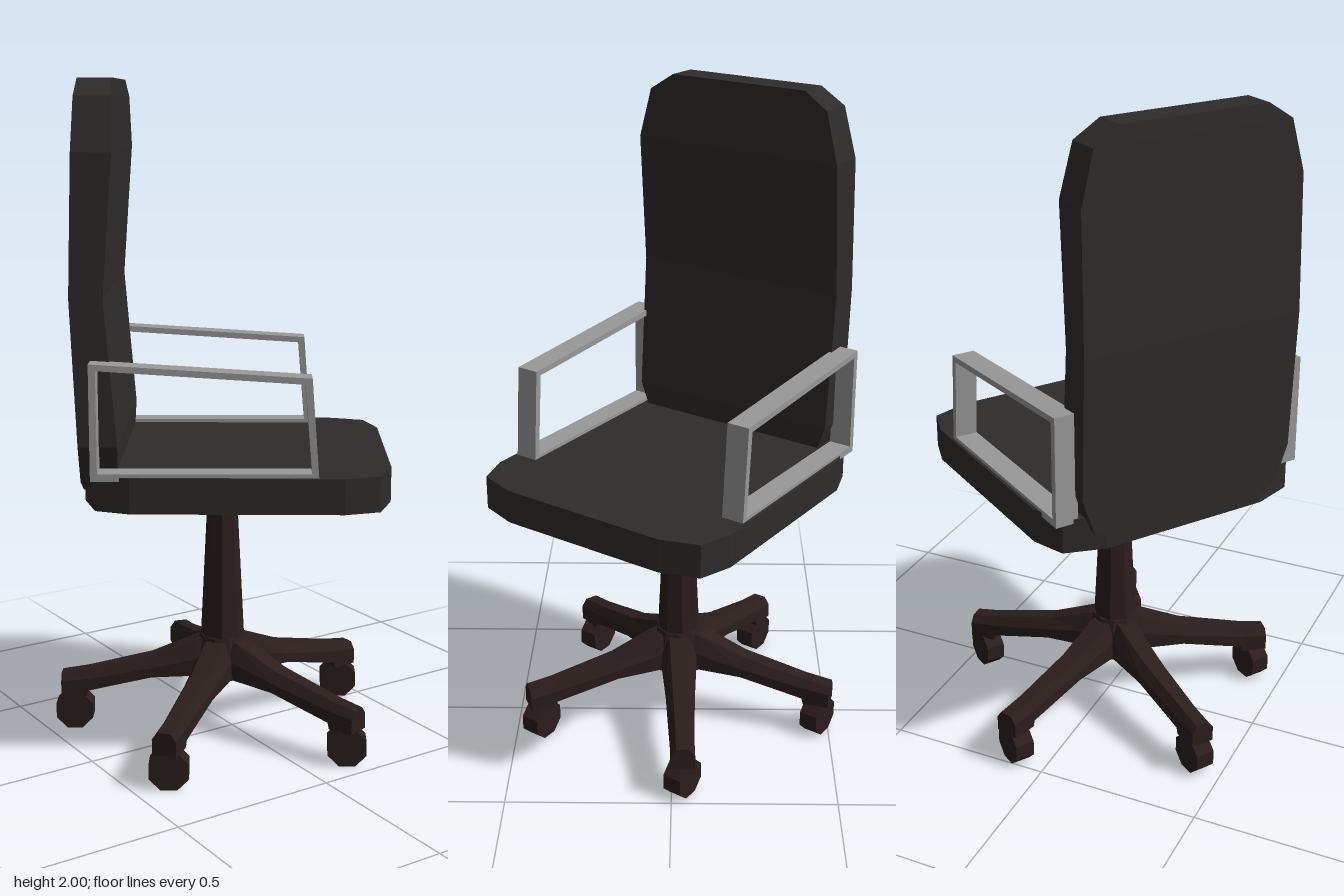
import * as THREE from 'three';

const mat = (color) => new THREE.MeshStandardMaterial({ color, flatShading: true });
const upholstery = mat(0x2e2c2a);
const darkWood = mat(0x2b1e1d);
const metal = mat(0x999999);

function add(parent, name, geometry, material) {
  const mesh = new THREE.Mesh(geometry, material);
  mesh.name = name;
  parent.add(mesh);
  return mesh;
}

// Joins equal-length rings of [x, y, z] points and caps both ends.
function loft(rings) {
  const n = rings[0].length;
  const index = [];
  for (let r = 0; r < rings.length - 1; r++) {
    for (let i = 0; i < n; i++) {
      const j = (i + 1) % n;
      const a = r * n + i, b = r * n + j;
      index.push(a, b, b + n, a, b + n, a + n);
    }
  }
  const last = (rings.length - 1) * n;
  for (let i = 1; i < n - 1; i++) {
    index.push(0, i + 1, i, last, last + i, last + i + 1);
  }
  const g = new THREE.BufferGeometry();
  g.setAttribute('position', new THREE.Float32BufferAttribute(rings.flat(2), 3));
  g.setIndex(index);
  const flat = g.toNonIndexed();
  flat.computeVertexNormals();
  return flat;
}

const polygon = (pts) => pts.map(([x, y]) => new THREE.Vector2(x, y));

function buildSeat(parent) {
  const half = [[0.265, -0.42], [0.385, -0.38], [0.42, -0.28], [0.418, 0.323], [0.385, 0.424], [0.268, 0.462]];
  const outline = [...half, ...half.map(([x, z]) => [-x, z]).reverse()];
  const g = new THREE.ExtrudeGeometry(new THREE.Shape(polygon(outline)), { depth: 0.103, bevelEnabled: false });
  g.rotateX(Math.PI / 2);
  add(parent, 'seat', g, upholstery).position.y = 0.908;
}

function buildBackrest(parent) {
  // height, half width, front z, back z
  const levels = [
    [0.83, 0.24, -0.325, -0.427], [0.87, 0.31, -0.322, -0.428], [0.98, 0.348, -0.318, -0.43],
    [1.4, 0.35, -0.352, -0.447], [1.8, 0.348, -0.322, -0.434], [1.95, 0.308, -0.325, -0.428],
    [2.0, 0.23, -0.33, -0.425],
  ];
  add(parent, 'backrest', loft(levels.map(([y, w, f, b]) => [[-w, y, f], [w, y, f], [w, y, b], [-w, y, b]])), upholstery);
}

function buildArmrests(parent) {
  // Closed strap loop drawn in side profile (z, y)
  const shape = new THREE.Shape(polygon([[-0.39, 0.895], [0.25, 0.9], [0.228, 1.19], [-0.39, 1.228]]));
  shape.holes.push(new THREE.Path(polygon([[-0.37, 0.917], [-0.37, 1.209], [0.209, 1.173], [0.23, 0.919]])));
  for (const side of [-1, 1]) {
    const g = new THREE.ExtrudeGeometry(shape, { depth: 0.07, bevelEnabled: false });
    g.rotateY(-Math.PI / 2);
    // Profile x now runs along z, depth along -x
    const arm = add(parent, side > 0 ? 'leftArmrest' : 'rightArmrest', g, metal);
    arm.position.x = side * 0.375 + 0.035;
  }
}

function buildBase(parent) {
  const base = new THREE.Group();
  base.name = 'base';
  base.position.z = -0.03;
  parent.add(base);

  const column = add(base, 'column', new THREE.CylinderGeometry(0.042, 0.068, 0.53, 8), darkWood);
  column.position.y = 0.555;
  const hub = add(base, 'hub', new THREE.CylinderGeometry(0.07, 0.1, 0.125, 10), darkWood);
  hub.position.y = 0.247;

  // distance from hub, half width, bottom, shoulder, top
  const stations = [
    [0, 0.055, 0.185, 0.25, 0.31], [0.08, 0.055, 0.185, 0.24, 0.295], [0.22, 0.046, 0.175, 0.205, 0.238],
    [0.42, 0.037, 0.127, 0.165, 0.192], [0.425, 0.037, 0.108, 0.165, 0.191], [0.505, 0.037, 0.108, 0.155, 0.178],
  ];
  const legGeometry = loft(stations.map(([z, w, b, m, t]) => [
    [-w, b, z], [w, b, z], [w, m, z], [w * 0.55, t, z], [-w * 0.55, t, z], [-w, m, z],
  ]));
  const wheelGeometry = new THREE.CylinderGeometry(0.062, 0.062, 0.06, 8);
  wheelGeometry.rotateY(Math.PI / 8).rotateZ(Math.PI / 2);

  // One leg points straight back; all wheels roll forwards
  for (let i = 0; i < 5; i++) {
    const a = Math.PI + (i * Math.PI * 2) / 5;
    add(base, 'leg', legGeometry, darkWood).rotation.y = a;
    add(base, 'casterWheel', wheelGeometry, darkWood).position.set(Math.sin(a) * 0.465, 0.0573, Math.cos(a) * 0.465);
  }
}

export function createModel() {
  const model = new THREE.Group();
  model.name = 'officeChair';
  const chair = new THREE.Group();
  chair.name = 'turnedChair';
  chair.rotation.y = THREE.MathUtils.degToRad(56);
  model.add(chair);
  buildSeat(chair);
  buildBackrest(chair);
  buildArmrests(chair);
  buildBase(chair);
  return model;
}
